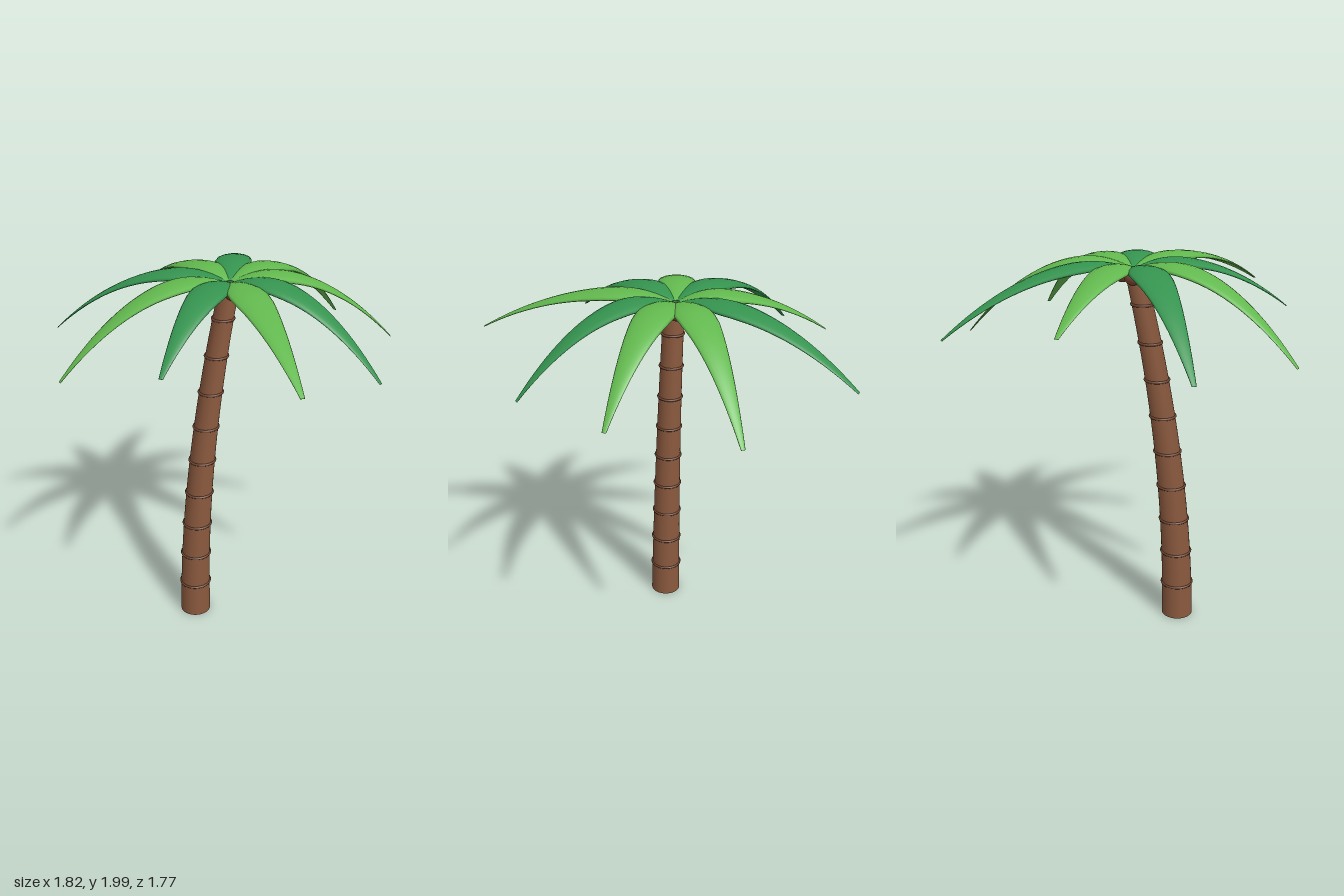
import * as THREE from 'three';

const mat = (name, color, extra = {}) => new THREE.MeshStandardMaterial({ name, color, ...extra });

// Trunk centre line and taper as functions of height
const trunkX = y => -0.255 + 0.006 * y + 0.0665 * y * y;
const trunkR = y => 0.086 - 0.017 * y;
const AXIS_Z = -0.093;

// Half width of a frond along its length
const WIDTHS = [[0, 0.018], [0.1, 0.055], [0.2, 0.088], [0.28, 0.1], [0.38, 0.094], [1, 0.011]];
function halfWidth(t) {
  for (let i = 1; i < WIDTHS.length; i++) {
    const [t0, w0] = WIDTHS[i - 1], [t1, w1] = WIDTHS[i];
    if (t <= t1) return w0 + (w1 - w0) * (t - t0) / (t1 - t0);
  }
  return WIDTHS[WIDTHS.length - 1][1];
}

// Frond: flattened oval sections swept along a rising, then drooping arc
function frondGeometry(base, tip) {
  const N = 24, M = 14, peak = 0.2, peakY = 1.976;
  const dx = tip[0] - base[0], dz = tip[2] - base[2];
  const len = Math.hypot(dx, dz);
  const dir = new THREE.Vector3(dx / len, 0, dz / len);
  const side = new THREE.Vector3(-dir.z, 0, dir.x);
  const droop = (peakY - tip[1]) / (1 - peak) ** 2;
  const height = t => t < peak ? peakY - 0.03 * (1 - t / peak) ** 2 : peakY - droop * (t - peak) ** 2;
  const pos = [], index = [];
  for (let i = 0; i <= N; i++) {
    const t = i / N, w = halfWidth(t);
    const slope = (height(t + 0.01) - height(t - 0.01)) / (0.02 * len);
    const up = dir.clone().multiplyScalar(-slope).add(new THREE.Vector3(0, 1, 0)).normalize();
    const c = new THREE.Vector3(base[0] + dx * t, height(t), base[2] + dz * t);
    for (let j = 0; j < M; j++) {
      const a = j / M * Math.PI * 2, u = Math.cos(a);
      const p = c.clone().addScaledVector(side, u * w)
        .addScaledVector(up, Math.sin(a) * w * 0.2 - u * u * w * 0.08);
      pos.push(p.x, p.y, p.z);
    }
  }
  for (let i = 0; i < N; i++) for (let j = 0; j < M; j++) {
    const a = i * M + j, b = i * M + (j + 1) % M;
    index.push(a, b, a + M, b, b + M, a + M);
  }
  // End caps
  for (let j = 1; j < M - 1; j++) {
    index.push(0, j + 1, j, N * M, N * M + j, N * M + j + 1);
  }
  const g = new THREE.BufferGeometry();
  g.setAttribute('position', new THREE.Float32BufferAttribute(pos, 3));
  g.setIndex(index);
  g.computeVertexNormals();
  return g;
}

export function createModel() {
  const model = new THREE.Group();
  model.name = 'palmTree';
  const bark = mat('bark brown', 0x8a593e);
  const ringBrown = mat('ring brown', 0x6b4330);
  const nutBrown = mat('coconut brown', 0x7d4a36);
  const lightGreen = mat('light leaf green', 0x62b84e, { side: THREE.DoubleSide });
  const darkGreen = mat('dark leaf green', 0x35934f, { side: THREE.DoubleSide });

  const add = (parent, name, geometry, material, x = 0, y = 0, z = 0) => {
    const m = new THREE.Mesh(geometry, material);
    m.name = name;
    m.position.set(x, y, z);
    parent.add(m);
    return m;
  };

  // Leaning, tapered trunk
  const H = 1.94;
  const trunk = new THREE.CylinderGeometry(trunkR(H), trunkR(0), H, 28, 20);
  trunk.translate(0, H / 2, 0);
  const p = trunk.attributes.position;
  for (let i = 0; i < p.count; i++) p.setX(i, p.getX(i) + trunkX(p.getY(i)));
  add(model, 'trunk', trunk, bark, 0, 0, AXIS_Z);

  // Growth rings
  const rings = new THREE.Group();
  rings.name = 'trunkRings';
  model.add(rings);
  for (let i = 1; i <= 9; i++) {
    const y = i * 0.196;
    const g = new THREE.TorusGeometry(trunkR(y) + 0.001, 0.007, 8, 28);
    g.rotateX(Math.PI / 2);
    add(rings, 'trunkRing', g, ringBrown, trunkX(y), y, AXIS_Z);
  }

  // Fronds, each given by its tip and colour
  const crown = new THREE.Group();
  crown.name = 'crown';
  model.add(crown);
  const tips = [
    [0, 1.77, -0.885, lightGreen], [0.635, 1.685, -0.875, darkGreen],
    [0.905, 1.565, -0.283, lightGreen], [0.77, 1.615, 0.315, lightGreen],
    [0.33, 1.585, 0.71, darkGreen], [-0.305, 1.745, 0.88, lightGreen],
    [-0.67, 1.73, 0.325, darkGreen], [-0.91, 1.575, -0.237, lightGreen],
    [-0.63, 1.625, -0.825, darkGreen],
  ];
  for (const tip of tips) {
    const a = Math.atan2(tip[2] + 0.1, tip[0]);
    const base = [0.01 + 0.02 * Math.cos(a), 0, -0.1 + 0.02 * Math.sin(a)];
    add(crown, 'frond', frondGeometry(base, tip), tip[3]);
  }

  // Short leaf spikes under the fronds
  for (let i = 0; i < 10; i++) {
    const a = i / 10 * Math.PI * 2 + 0.2;
    const g = new THREE.ConeGeometry(0.014, 0.13, 6);
    g.translate(0, 0.065, 0);
    g.rotateZ(-Math.PI / 2 + (i % 2 ? 0.05 : -0.15));
    g.rotateY(a);
    add(crown, 'leafSpike', g, darkGreen, 0.01, 1.93, -0.1);
  }

  // Coconuts around the trunk top
  const nut = new THREE.SphereGeometry(0.045, 20, 14);
  for (const [x, z] of [[0.073, -0.1], [-0.012, -0.04], [-0.012, -0.15]]) {
    add(crown, 'coconut', nut, nutBrown, x, 1.912, z);
  }
  return model;
}
